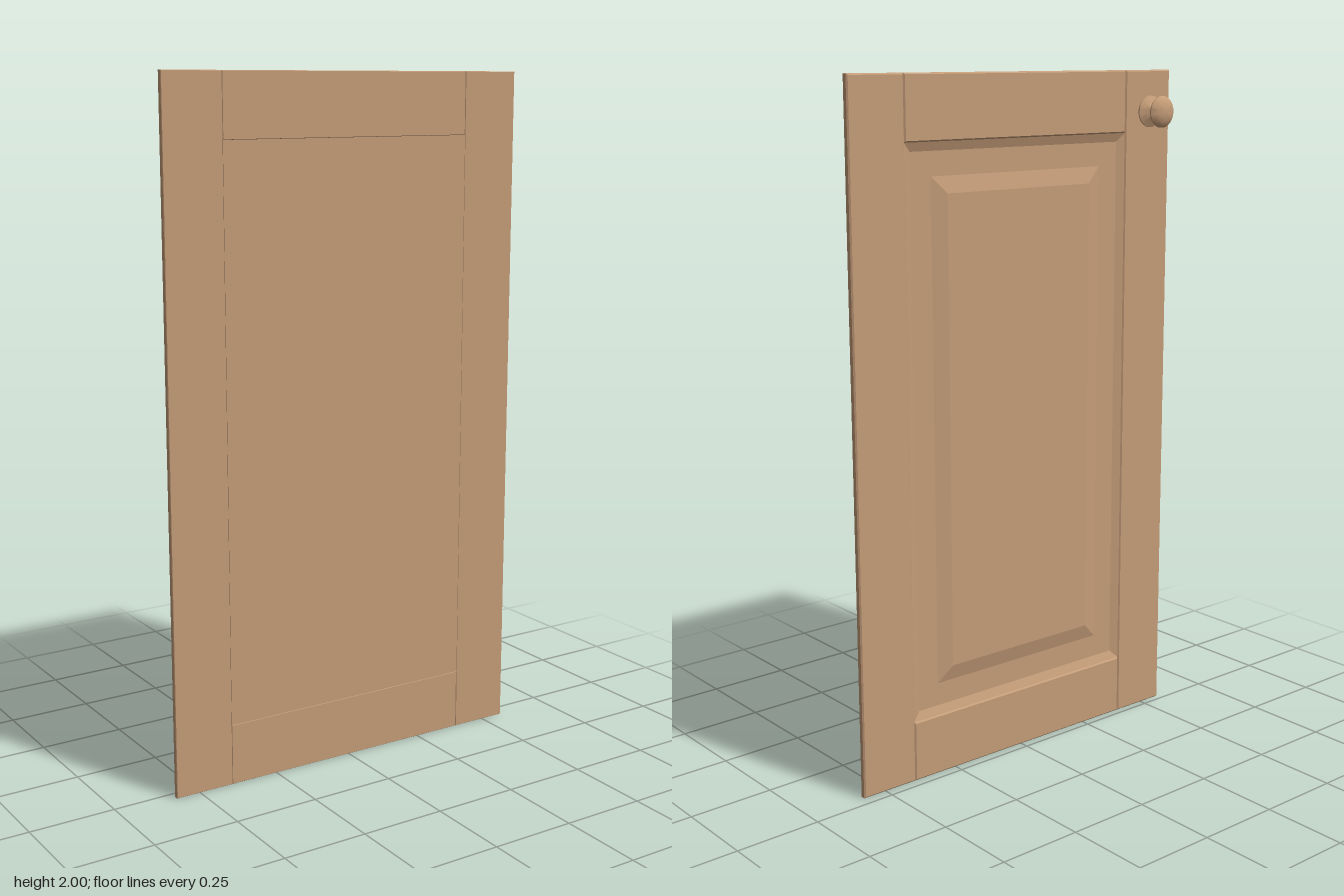
import * as THREE from 'three';
import { toCreasedNormals } from 'three/addons/utils/BufferGeometryUtils.js';

const wood = new THREE.MeshStandardMaterial({ color: 0xc49c78 });
wood.name = 'wood';

const T = 0.019; // board thickness
const C = 0.004; // edge chamfer

// Solid made of stacked rectangles, front to back; each ring is [inset, z].
function rectLoft(x0, x1, y0, y1, rings) {
  const corners = rings.map(([i, z]) => [
    [x0 + i, y0 + i, z], [x1 - i, y0 + i, z], [x1 - i, y1 - i, z], [x0 + i, y1 - i, z],
  ]);
  const pos = [];
  const quad = (a, b, c, d) => pos.push(...a, ...b, ...c, ...a, ...c, ...d);
  quad(...corners[0]);
  quad(...[...corners[corners.length - 1]].reverse());
  for (let r = 0; r + 1 < corners.length; r++) {
    for (let k = 0; k < 4; k++) {
      const n = (k + 1) % 4;
      quad(corners[r][k], corners[r + 1][k], corners[r + 1][n], corners[r][n]);
    }
  }
  const geometry = new THREE.BufferGeometry();
  geometry.setAttribute('position', new THREE.Float32BufferAttribute(pos, 3));
  geometry.computeVertexNormals();
  return geometry;
}

function part(parent, name, geometry) {
  const mesh = new THREE.Mesh(geometry, wood);
  mesh.name = name;
  parent.add(mesh);
  return mesh;
}

export function createModel() {
  const model = new THREE.Group();
  model.name = 'cabinetDoor';

  // The door stands very slightly ajar
  const door = new THREE.Group();
  door.name = 'door';
  door.position.z = 0.042;
  door.rotation.y = -0.0108;
  model.add(door);

  // Frame boards, chamfered on the panelled side
  const board = [[0.0015, 0], [0, -0.002], [0, -T + C], [C, -T]];
  part(door, 'leftStile', rectLoft(0.396, 0.573, 0, 2, board));
  part(door, 'rightStile', rectLoft(-0.573, -0.396, 0, 2, board));
  part(door, 'topRail', rectLoft(-0.396, 0.396, 1.82, 2, board));
  part(door, 'bottomRail', rectLoft(-0.396, 0.396, 0, 0.18, board));

  // Panel: sloped moulding, sunken border, raised field
  part(door, 'raisedPanel', rectLoft(-0.396, 0.396, 0.18, 1.82, [
    [0, 0], [0, -T + C], [0.025, -0.005], [0.093, -0.005], [0.14, -T + 0.002],
  ]));

  // Turned knob: flared base, stem and domed cap
  const profile = [
    [0, 0], [0.046, 0], [0.046, 0.004], [0.032, 0.011], [0.016, 0.02], [0.012, 0.023],
    [0.012, 0.046], [0.043, 0.046], [0.046, 0.049], [0.046, 0.053], [0.04, 0.059],
    [0.029, 0.065], [0.015, 0.069], [0, 0.07],
  ].map(([r, y]) => new THREE.Vector2(r, y));
  const knob = part(door, 'knob',
    toCreasedNormals(new THREE.LatheGeometry(profile, 32), 0.6));
  knob.rotation.x = -Math.PI / 2;
  knob.position.set(-0.493, 1.88, -T);

  return model;
}
